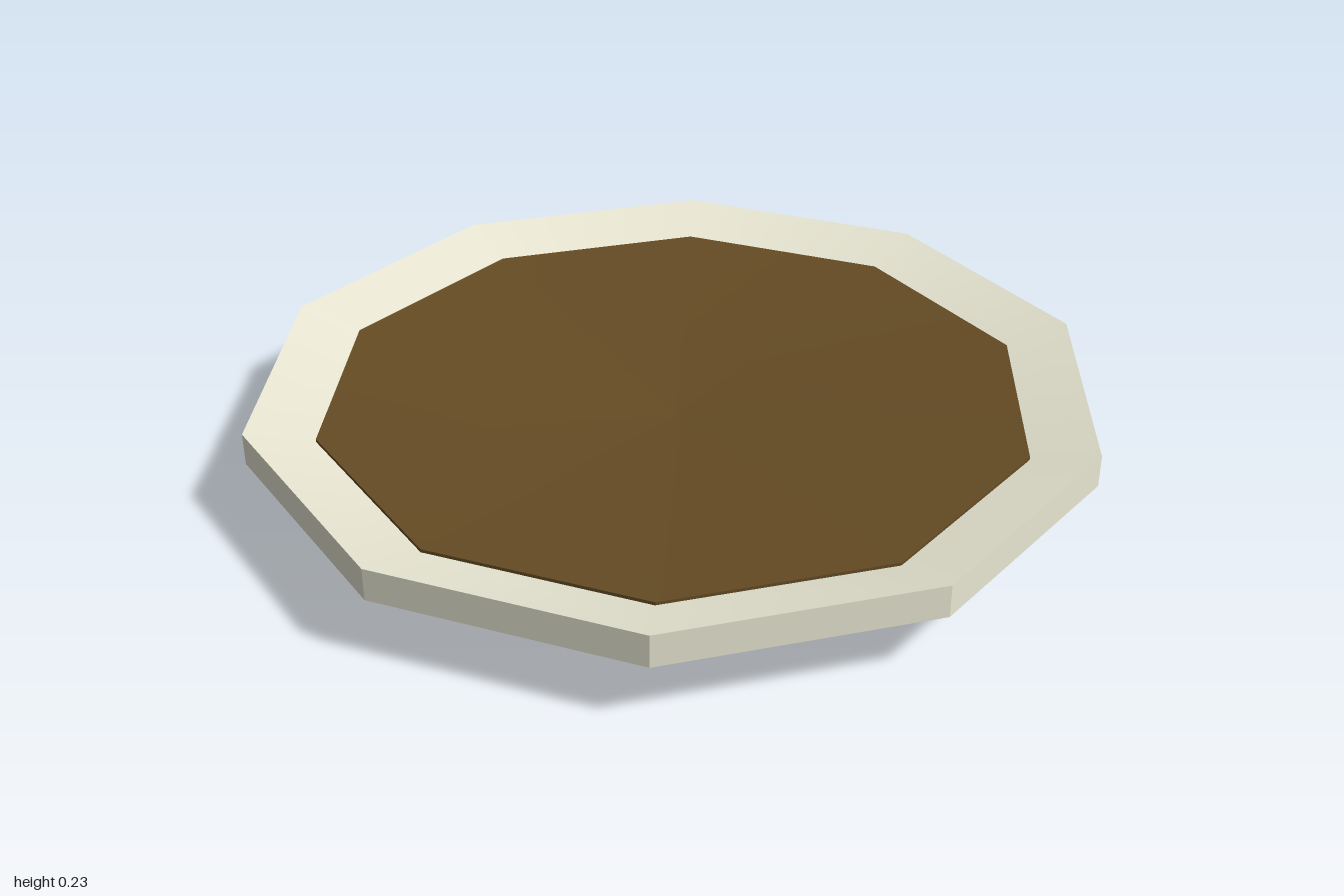
import * as THREE from 'three';

const SIDES = 10;
const cream = { color: 0xe8e6d2 };
const brown = { color: 0x654b24 };

// Ten-sided band swept around y through [radius, height] points, one corner on +x
function band(name, points, style, flatShading) {
  const profile = points.map(([r, y]) => new THREE.Vector2(r, y));
  const geometry = new THREE.LatheGeometry(profile, SIDES, Math.PI / 2);
  const mesh = new THREE.Mesh(geometry, new THREE.MeshStandardMaterial({ ...style, flatShading }));
  mesh.name = name;
  return mesh;
}

export function createModel() {
  const model = new THREE.Group();
  model.name = 'shallowDish';

  // Closed foot and flat base
  model.add(band('footBase', [[0, 0], [0.667, 0]], cream, true));
  model.add(band('footWall', [[0.667, 0], [0.667, 0.055]], cream, true));

  // Flared underside and upright rim
  model.add(band('underside', [[0.667, 0.055], [1, 0.15]], cream, false));
  model.add(band('rimWall', [[1, 0.15], [1, 0.227]], cream, true));

  // Sloping inside, ending just under the filling
  model.add(band('innerSlope', [[1, 0.227], [0.8, 0.169]], cream, false));

  // Filling: a thin upright edge around a gently sunken surface
  const filling = new THREE.Group();
  filling.name = 'filling';
  filling.position.x = 0.004;
  filling.add(band('fillingEdge', [[0.843, 0.165], [0.843, 0.188]], brown, true));
  filling.add(band('fillingSurface', [[0.843, 0.188], [0, 0.12]], brown, false));
  model.add(filling);

  return model;
}
